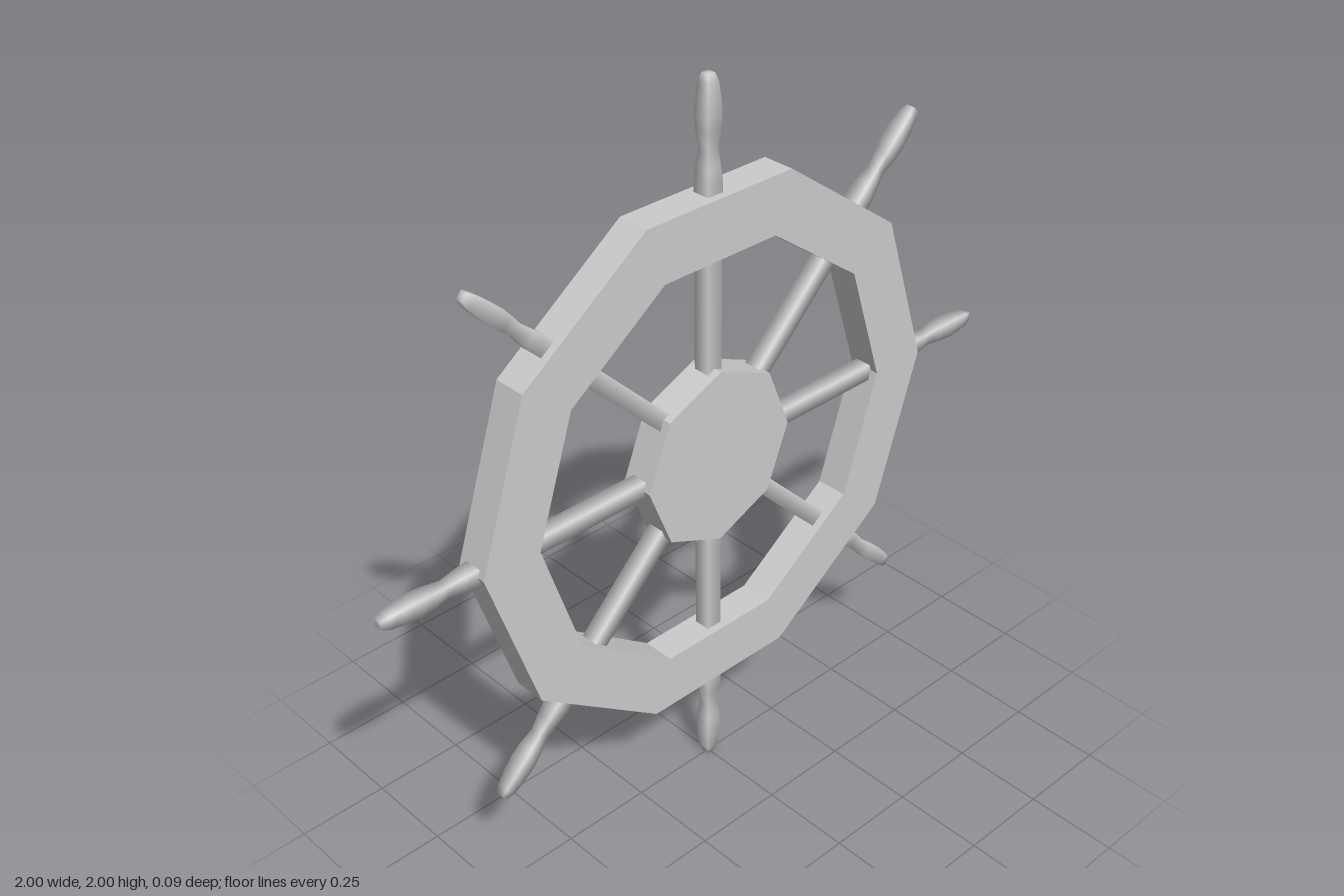
import * as THREE from 'three';

const V = (x, y) => new THREE.Vector2(x, y);
const CENTRE_Y = 1.0;

// Corners of a regular polygon around the origin
function polygon(sides, radius, scaleX = 1) {
  return Array.from({ length: sides }, (_, i) => {
    const a = (i / sides) * Math.PI * 2;
    return V(Math.cos(a) * radius * scaleX, Math.sin(a) * radius);
  });
}

// Flat slab centred on z = 0
function slab(shape, depth) {
  const geo = new THREE.ExtrudeGeometry(shape, { depth, bevelEnabled: false });
  return geo.translate(0, 0, -depth / 2);
}

export function createModel() {
  const wheel = new THREE.Group();
  wheel.name = 'shipWheel';
  const flat = new THREE.MeshStandardMaterial({ color: 0xcccccc, flatShading: true });
  const smooth = new THREE.MeshStandardMaterial({ color: 0xcccccc });

  const add = (name, geo, mat) => {
    const mesh = new THREE.Mesh(geo, mat);
    mesh.name = name;
    mesh.position.y = CENTRE_Y;
    wheel.add(mesh);
    return mesh;
  };

  // Ten-sided rim with a matching opening
  const rimShape = new THREE.Shape(polygon(10, 0.742));
  rimShape.holes.push(new THREE.Path(polygon(10, 0.577)));
  add('rim', slab(rimShape, 0.09), flat).position.y = CENTRE_Y + 0.004;

  // Eight-sided hub
  add('hub', slab(new THREE.Shape(polygon(8, 0.248, 0.96)), 0.09), flat);

  // Square spoke with a turned handle: [half width, distance from centre]
  const profile = [
    [0.023, 0.15], [0.023, 0.66], [0.024, 0.74], [0.021, 0.775], [0.016, 0.82],
    [0.021, 0.865], [0.023, 0.9], [0.021, 0.94], [0.017, 0.98], [0.011, 1.0],
  ].map(([w, d]) => V(w * Math.SQRT2, d));
  profile.push(V(0, 1.0));
  const spokeGeo = new THREE.LatheGeometry(profile, 4, Math.PI / 4);

  for (let i = 0; i < 8; i++) {
    add('spoke' + (i + 1), spokeGeo, smooth).rotation.z = (i * Math.PI) / 4;
  }
  return wheel;
}
